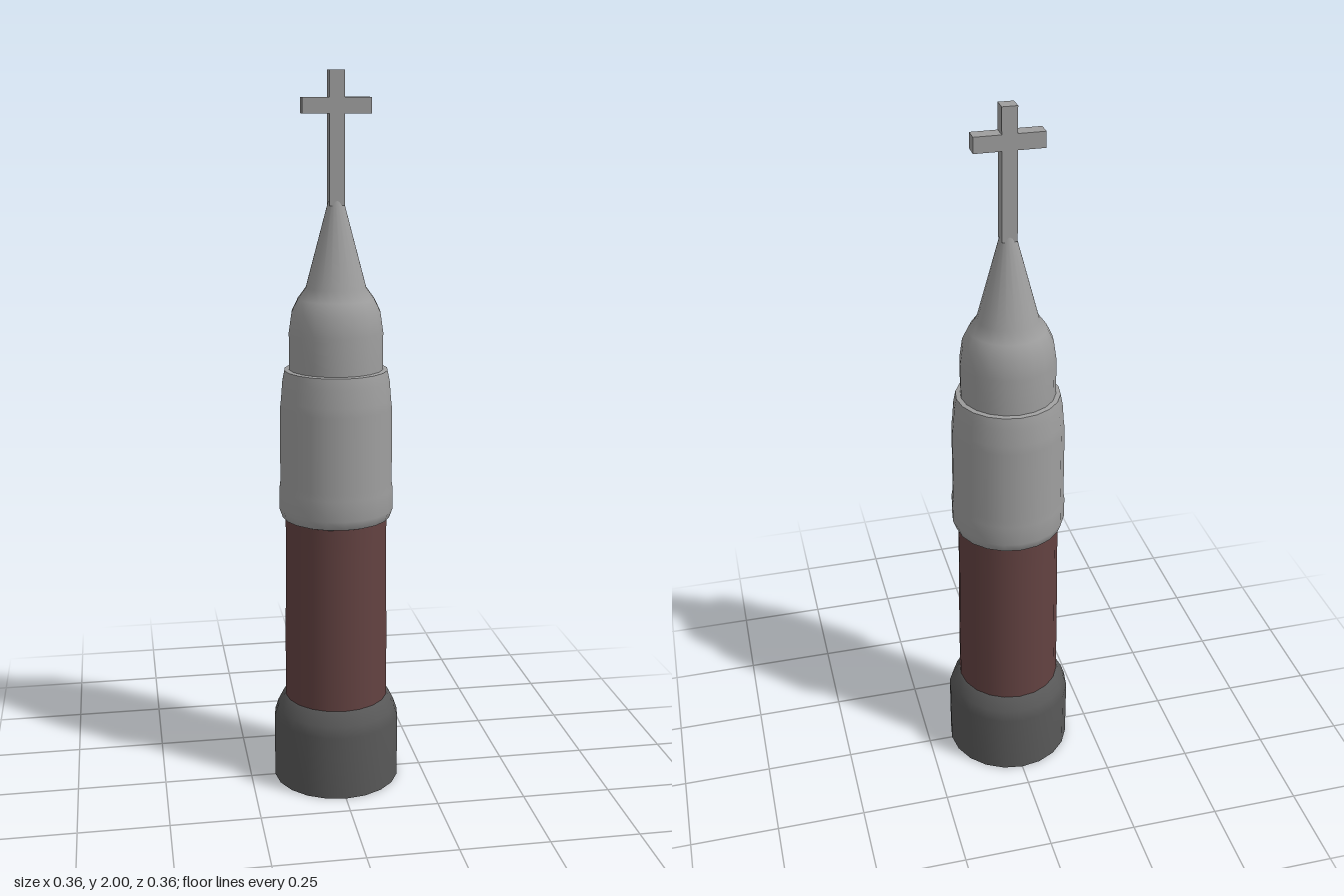
import * as THREE from 'three';

const SIDES = 20;

export function createModel() {
  const model = new THREE.Group();
  model.name = 'spire';

  const paint = (color) => new THREE.MeshStandardMaterial({ color, side: THREE.DoubleSide });
  const stone = paint(0x9e9e9e);
  const darkStone = paint(0x585858);
  const brick = paint(0x634241);

  const add = (name, geometry, material, y = 0) => {
    const mesh = new THREE.Mesh(geometry, material);
    mesh.name = name;
    mesh.position.y = y;
    model.add(mesh);
  };

  // Round section from [radius, height] pairs, bottom to top
  const turned = (name, profile, material) =>
    add(name, new THREE.LatheGeometry(profile.map(([r, y]) => new THREE.Vector2(r, y)), SIDES), material);

  // Hollow plinth with a sloped shoulder, open underneath
  turned('base', [[0.18, 0], [0.18, 0.185], [0.17, 0.215], [0.152, 0.25], [0.14, 0.255]], darkStone);

  // Coloured shaft
  turned('column', [[0.147, 0.25], [0.146, 0.44], [0.143, 0.7], [0.143, 0.79]], brick);

  // Wide drum above the shaft, chamfered at both ends
  turned('drum', [
    [0.143, 0.784], [0.151, 0.787], [0.16, 0.812], [0.16, 0.87], [0.157, 0.89],
    [0.156, 1.1], [0.153, 1.125], [0.149, 1.175], [0.143, 1.205],
  ], stone);
  turned('drumLedge', [[0.143, 1.205], [0.129, 1.207]], stone);

  // Neck tapering into the pointed roof
  turned('roof', [
    [0.13, 1.2], [0.13, 1.31], [0.122, 1.365], [0.105, 1.4], [0.083, 1.43], [0.02, 1.665],
  ], stone);

  // Cross on top
  add('crossPost', new THREE.BoxGeometry(0.041, 0.35, 0.041), stone, 1.825);
  add('crossArm', new THREE.BoxGeometry(0.185, 0.042, 0.041), stone, 1.91);

  return model;
}
